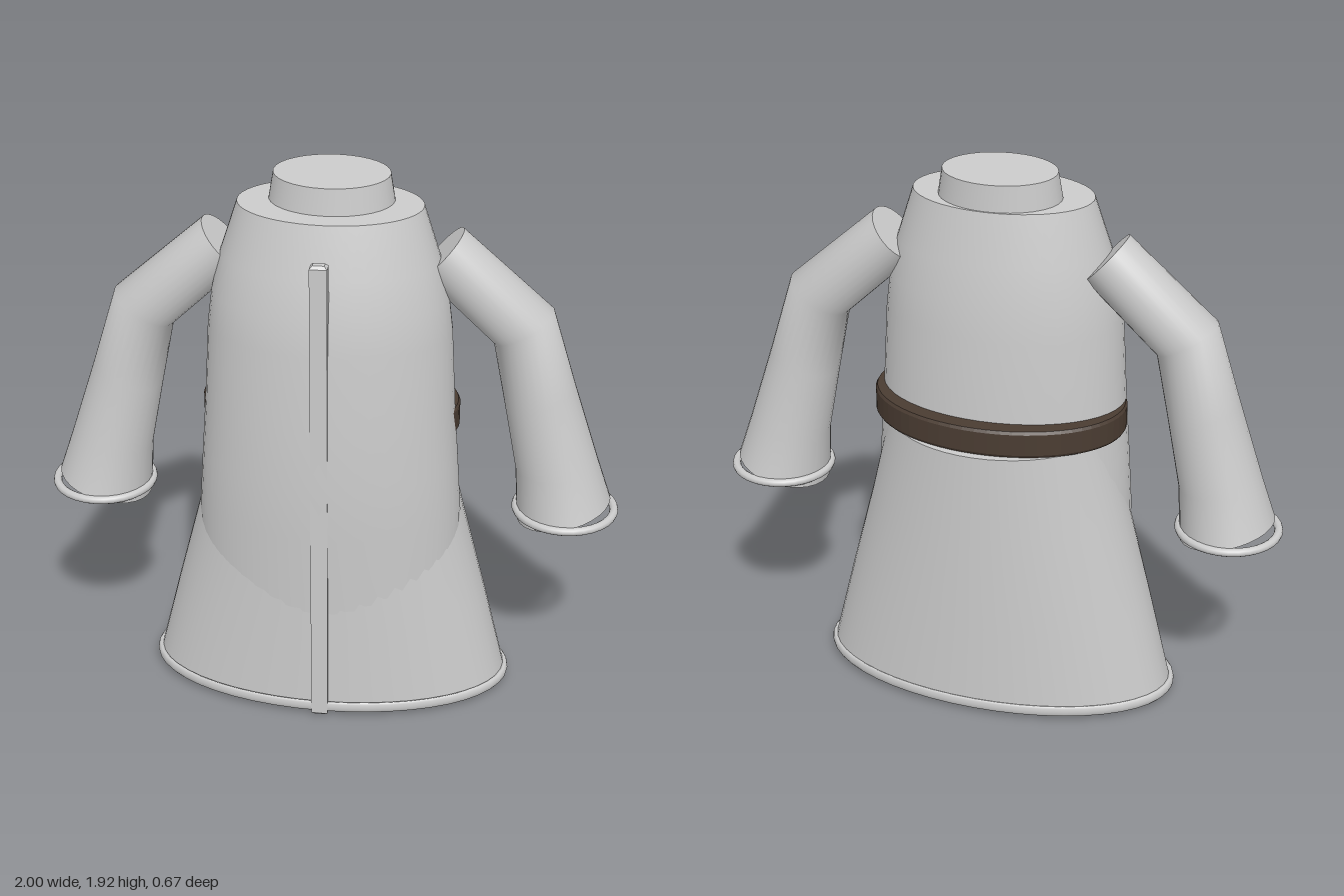
import * as THREE from 'three';

const grey = new THREE.MeshStandardMaterial({ color: 0xcccccc });
const brown = new THREE.MeshStandardMaterial({ color: 0x4a3c32 });

// Closed loft through elliptical rings listed from bottom to top.
// Each ring: c = centre, u = half axis towards +x, rz = half depth.
function loft(rings, sides) {
  const pos = [], index = [];
  const addRing = (r) => {
    const start = pos.length / 3;
    for (let j = 0; j < sides; j++) {
      const a = (j / sides) * Math.PI * 2, k = Math.cos(a);
      pos.push(r.c[0] + r.u[0] * k, r.c[1] + r.u[1] * k, r.c[2] + r.rz * Math.sin(a));
    }
    return start;
  };
  const starts = rings.map(addRing);
  for (let i = 0; i < rings.length - 1; i++) {
    for (let j = 0; j < sides; j++) {
      const n = (j + 1) % sides, p = starts[i], q = starts[i + 1];
      index.push(p + j, q + j, p + n, q + j, q + n, p + n);
    }
  }
  // Caps have their own vertices so the rims stay sharp
  const bottom = addRing(rings[0]), top = addRing(rings[rings.length - 1]);
  for (let j = 1; j < sides - 1; j++) {
    index.push(bottom, bottom + j, bottom + j + 1);
    index.push(top, top + j + 1, top + j);
  }
  const g = new THREE.BufferGeometry();
  g.setAttribute('position', new THREE.Float32BufferAttribute(pos, 3));
  g.setIndex(index);
  g.computeVertexNormals();
  return g;
}

// Upright ring from height, half width, front z and back z
const level = (y, rx, front, back) => ({
  c: [0, y, (front + back) / 2], u: [rx, 0], rz: (front - back) / 2,
});

// Rounded horizontal hoop stretched to an ellipse
function hoop(rx, rz, tube) {
  const g = new THREE.TorusGeometry(1 - tube, tube, 10, 48);
  g.rotateX(Math.PI / 2);
  g.scale(rx, 1, rz);
  return g;
}

export function createModel() {
  const model = new THREE.Group();
  const add = (name, geometry, material = grey, parent = model) => {
    const mesh = new THREE.Mesh(geometry, material);
    mesh.name = name;
    parent.add(mesh);
    return mesh;
  };

  // Flared skirt and its hem
  add('skirt', loft([
    level(0.02, 0.635, 0.318, -0.325),
    level(0.35, 0.553, 0.318, -0.325),
    level(0.7, 0.462, 0.318, -0.325),
    level(1.02, 0.385, 0.318, -0.325),
  ], 48));
  add('hem', hoop(0.645, 0.333, 0.02)).position.y = 0.036;

  // Torso, its lower end sinking into the skirt
  add('torso', loft([
    level(0.3, 0.465, 0.312, -0.24),
    level(0.72, 0.456, 0.333, -0.243),
    level(0.92, 0.442, 0.337, -0.244),
    level(1.12, 0.427, 0.333, -0.242),
    level(1.4, 0.411, 0.321, -0.23),
    level(1.52, 0.396, 0.307, -0.22),
    level(1.65, 0.366, 0.284, -0.203),
    level(1.83, 0.307, 0.237, -0.17),
  ], 48));

  // Collar
  add('collar', loft([
    level(1.8, 0.213, 0.163, -0.166),
    level(1.92, 0.193, 0.15, -0.162),
  ], 32));

  // Belt band
  const outline = new THREE.Shape().absellipse(0, 0, 0.441, 0.302, 0, Math.PI * 2);
  outline.holes.push(new THREE.Path().absellipse(0, 0, 0.39, 0.23, 0, Math.PI * 2));
  const belt = new THREE.ExtrudeGeometry(outline, {
    depth: 0.076, bevelEnabled: true, bevelSize: 0.006, bevelOffset: -0.006,
    bevelThickness: 0.01, bevelSegments: 1, curveSegments: 32,
  });
  belt.rotateX(-Math.PI / 2);
  add('belt', belt, brown).position.y = 1.03;

  // Front fastening strip
  const strip = new THREE.Shape([
    [-0.019, -0.011], [0.019, -0.011], [0.019, 0.011], [-0.019, 0.011],
  ].map(([x, y]) => new THREE.Vector2(x, y)));
  const stripGeo = new THREE.ExtrudeGeometry(strip, {
    depth: 1.71, bevelSize: 0.01, bevelThickness: 0.01, bevelSegments: 1,
  });
  stripGeo.rotateX(-Math.PI / 2);
  add('frontStrip', stripGeo).position.set(0, 0.01, 0.314);

  // Sleeve sections: inner x, y, outer x, y, half depth
  const sections = [
    [0.65, 0.677, 0.97, 0.765, 0.17],
    [0.638, 0.87, 0.92, 0.91, 0.141],
    [0.592, 1.11, 0.828, 1.19, 0.124],
    [0.545, 1.345, 0.742, 1.465, 0.11],
    [0.297, 1.58, 0.435, 1.735, 0.105],
  ];
  for (const side of [1, -1]) {
    const arm = new THREE.Group();
    arm.name = side > 0 ? 'leftSleeve' : 'rightSleeve';
    const rings = sections.map(([ix, iy, ox, oy, rz]) => ({
      c: [side * (ix + ox) / 2, (iy + oy) / 2, -0.011],
      u: [(ox - ix) / 2, side * (oy - iy) / 2],
      rz,
    }));
    add('sleeve', loft(rings, 28), grey, arm);
    const cuff = new THREE.TorusGeometry(0.17, 0.015, 10, 32);
    cuff.rotateX(Math.PI / 2);
    add('cuffRing', cuff, grey, arm).position.set(side * 0.815, 0.72, -0.011);
    model.add(arm);
  }
  return model;
}
